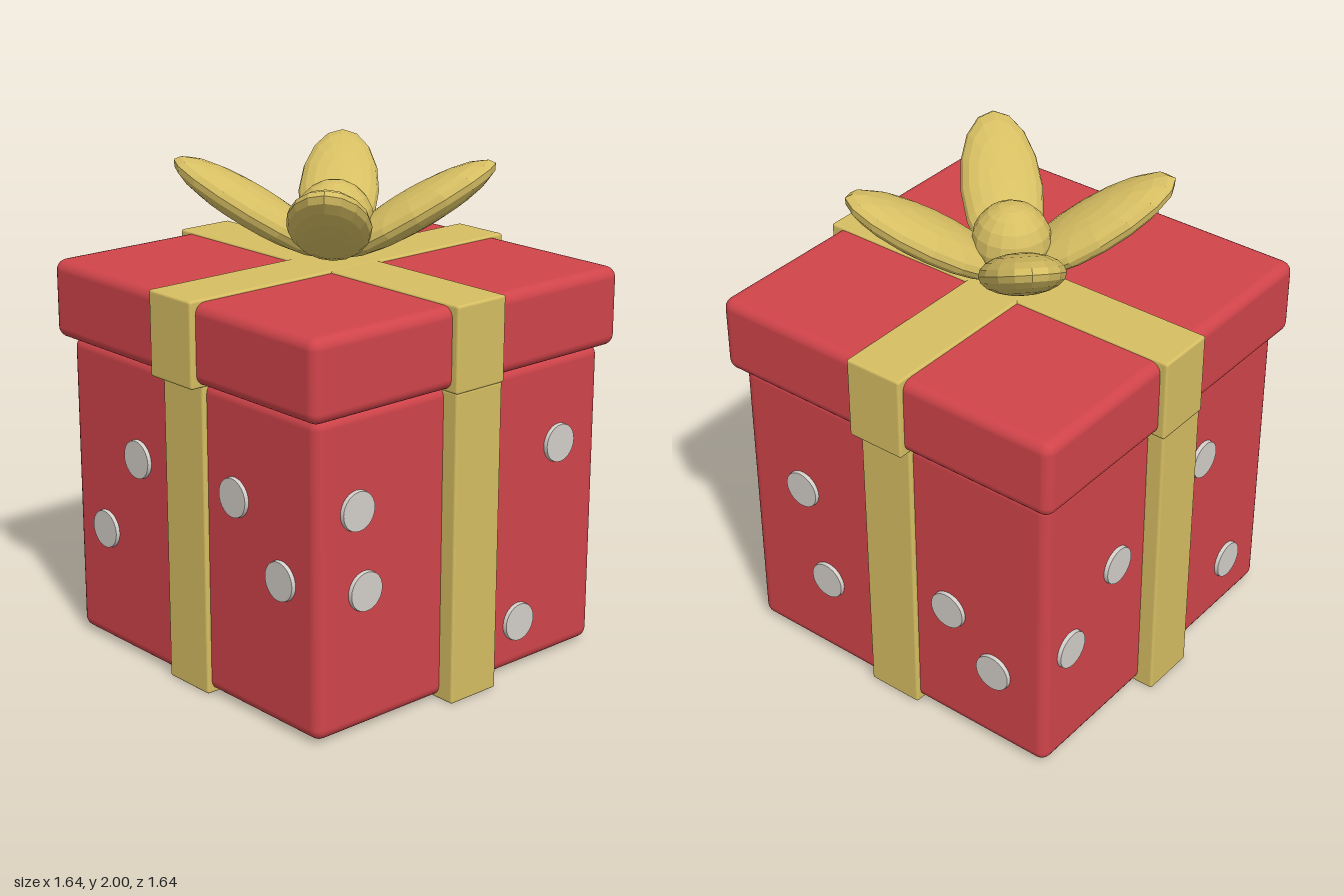
import * as THREE from 'three';
import { RoundedBoxGeometry } from 'three/addons/geometries/RoundedBoxGeometry.js';

export function createModel() {
  const group = new THREE.Group();
  const red = new THREE.MeshStandardMaterial({ color: 0xd0444a });
  red.name = 'redPaper';
  const gold = new THREE.MeshStandardMaterial({ color: 0xd6be62, flatShading: true });
  gold.name = 'goldRibbon';
  const silver = new THREE.MeshStandardMaterial({ color: 0xd3cec9 });
  silver.name = 'paleDots';

  const add = (name, geometry, material, parent = group) => {
    const mesh = new THREE.Mesh(geometry, material);
    mesh.name = name;
    parent.add(mesh);
    return mesh;
  };
  // rounded box standing between two heights
  const block = (name, w, d, y0, y1, radius, material) => {
    const geometry = new RoundedBoxGeometry(w, y1 - y0, d, 3, radius);
    add(name, geometry, material).position.y = (y0 + y1) / 2;
  };

  // Box and lid
  block('boxBody', 1.49, 1.49, 0.01, 1.27, 0.045, red);
  block('lid', 1.58, 1.59, 1.265, 1.585, 0.045, red);

  // Ribbon bands crossing around the box and the lid
  block('bodyRibbonAcross', 1.63, 0.24, 0, 1.26, 0.01, gold);
  block('bodyRibbonAlong', 0.24, 1.53, 0, 1.26, 0.01, gold);
  block('lidRibbonAcross', 1.64, 0.25, 1.255, 1.594, 0.01, gold);
  block('lidRibbonAlong', 0.25, 1.64, 1.255, 1.595, 0.01, gold);

  // Dots: [offset to the viewer's right of each face, height]
  const sides = [
    ['front', 0, [[-0.315, 0.855], [0.28, 0.86], [0.545, 0.605], [-0.54, 0.5]]],
    ['left', Math.PI / 2, [[-0.555, 0.89], [-0.515, 0.565], [0.515, 0.91], [0.31, 0.205]]],
    ['back', Math.PI, [[-0.46, 0.8], [-0.35, 0.39], [0.28, 0.565], [0.5, 0.365]]],
    ['right', -Math.PI / 2, [[-0.3, 0.735], [-0.59, 0.51], [0.27, 0.905], [0.5, 0.25]]],
  ];
  const dotGeometry = new THREE.CylinderGeometry(0.077, 0.081, 0.03, 28).rotateX(Math.PI / 2);
  for (const [side, turn, dots] of sides) {
    const face = new THREE.Group();
    face.name = side + 'Dots';
    face.rotation.y = turn;
    for (const [x, y] of dots) add('dot', dotGeometry, silver, face).position.set(x, y, 0.746);
    group.add(face);
  }

  // Bow: four tilted petals around a round knot
  const petalGeometry = new THREE.SphereGeometry(1, 16, 10).scale(0.36, 0.08, 0.163);
  petalGeometry.rotateZ(THREE.MathUtils.degToRad(31)).translate(0.318, 1.804, 0);
  const bow = new THREE.Group();
  bow.name = 'bow';
  for (let i = 0; i < 4; i++) {
    add('bowPetal', petalGeometry, gold, bow).rotation.y = (i + 0.5) * Math.PI / 2;
  }
  add('bowKnot', new THREE.SphereGeometry(0.156, 16, 10), gold, bow).position.y = 1.76;
  group.add(bow);

  return group;
}
